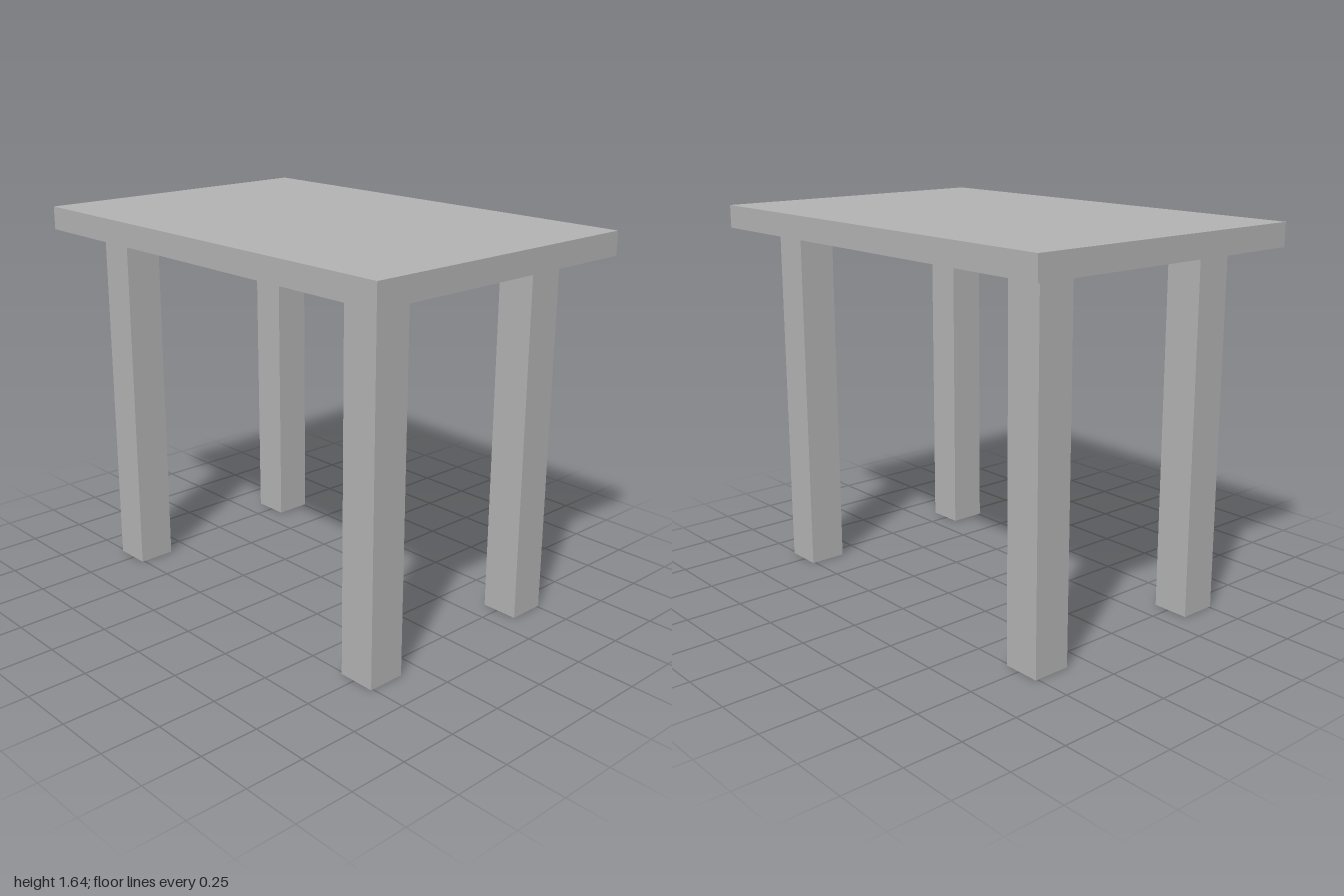
import * as THREE from 'three';

export function createModel() {
  const table = new THREE.Group();
  table.name = 'table';

  const grey = new THREE.MeshStandardMaterial({ color: 0xb2b2b2 });
  grey.name = 'grey';

  const legHeight = 1.545, legWidth = 0.164, topThickness = 0.1;

  // Flat rectangular top
  const top = new THREE.Mesh(new THREE.BoxGeometry(2, topThickness, 1.332), grey);
  top.name = 'tableTop';
  top.position.y = legHeight + topThickness / 2;
  table.add(top);

  // Four square legs, mirrored to each corner
  const legGeometry = new THREE.BoxGeometry(legWidth, legHeight, legWidth);
  for (const [side, sx] of [['Left', 1], ['Right', -1]]) {
    for (const [end, sz] of [['front', 1], ['back', -1]]) {
      const leg = new THREE.Mesh(legGeometry, grey);
      leg.name = `${end}${side}Leg`;
      leg.position.set(sx * 0.762, legHeight / 2, sz * 0.428);
      table.add(leg);
    }
  }

  return table;
}
